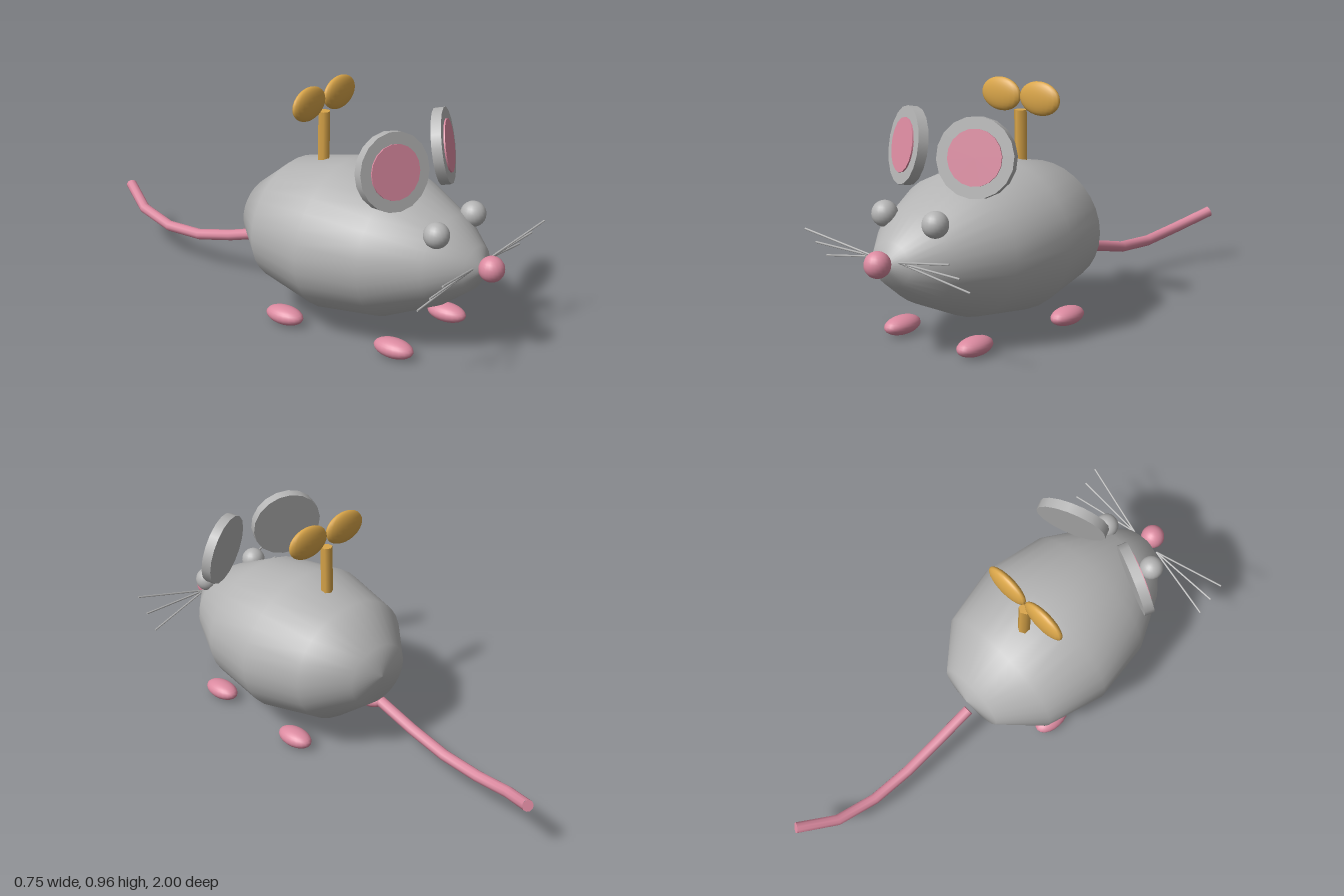
import * as THREE from 'three';

const paint = (name, color) => {
  const m = new THREE.MeshStandardMaterial({ color });
  m.name = name;
  return m;
};

export function createModel() {
  const model = new THREE.Group();
  model.name = 'windUpMouse';
  const grey = paint('grey', 0xb4b4b4);
  const pink = paint('pink', 0xdb8aa0);
  const gold = paint('gold', 0xd9a549);

  const add = (name, geometry, material, x = 0, y = 0, z = 0, parent = model) => {
    const mesh = new THREE.Mesh(geometry, material);
    mesh.name = name;
    mesh.position.set(x, y, z);
    parent.add(mesh);
    return mesh;
  };
  const ellipsoid = (rx, ry, rz) => new THREE.SphereGeometry(1, 20, 14).scale(rx, ry, rz);
  const rod = (name, a, b, radius, material) => {
    const dir = b.clone().sub(a);
    const mesh = add(name, new THREE.CylinderGeometry(radius, radius, dir.length(), 6), material);
    mesh.position.copy(a).add(b).multiplyScalar(0.5);
    mesh.quaternion.setFromUnitVectors(new THREE.Vector3(0, 1, 0), dir.normalize());
  };

  // Body: profile of [radius, z], turned about z and flattened a little
  const profile = [[0, -0.137], [0.15, -0.11], [0.298, 0.05], [0.36, 0.304],
    [0.32, 0.56], [0.205, 0.77], [0.1, 0.885], [0, 0.925]];
  const body = new THREE.LatheGeometry(profile.map(([r, z]) => new THREE.Vector2(r, z)), 32);
  body.rotateX(Math.PI / 2).scale(1, 0.847, 1);
  add('body', body, grey, 0, 0.365, 0);

  add('nose', ellipsoid(0.05, 0.05, 0.05), pink, 0, 0.378, 0.95);

  for (const s of [1, -1]) {
    const side = s > 0 ? 'left' : 'right';

    // Ear: thick disc with a thin pink inner disc, turned outward and tipped back
    const ear = new THREE.Group();
    ear.name = side + 'Ear';
    ear.position.set(s * 0.178, 0.74, 0.617);
    ear.rotation.set(-0.2, s * 0.4, 0);
    model.add(ear);
    add('earShell', new THREE.CylinderGeometry(0.15, 0.15, 0.04, 18).rotateX(Math.PI / 2), grey, 0, 0, 0, ear);
    add('innerEar', new THREE.CylinderGeometry(0.105, 0.105, 0.008, 18).rotateX(Math.PI / 2), pink, 0, 0, 0.022, ear);

    add(side + 'Eye', ellipsoid(0.05, 0.05, 0.05), grey, s * 0.132, 0.516, 0.787);
    add(side + 'FrontFoot', ellipsoid(0.05, 0.037, 0.085), pink, s * 0.193, 0.038, 0.655);
    add(side + 'BackFoot', ellipsoid(0.05, 0.037, 0.085), pink, s * 0.22, 0.038, 0.155);
    add(side + 'KeyWing', ellipsoid(0.1, 0.067, 0.027), gold, s * 0.1, 0.893, 0.18);

    // Whiskers fan out from beside the nose
    for (const k of [-1, 0, 1]) {
      rod(side + 'Whisker', new THREE.Vector3(s * 0.065, 0.388, 0.905),
        new THREE.Vector3(s * 0.375, 0.39 + k * 0.062, 0.915 + k * 0.05), 0.004, grey);
    }
  }

  // Key stem
  rod('keyStem', new THREE.Vector3(0, 0.6, 0.18), new THREE.Vector3(0, 0.84, 0.18), 0.025, gold);

  // Tail: a few-segment tube with closed ends
  const path = new THREE.CatmullRomCurve3([
    [0, 0.243, -0.13], [0, 0.185, -0.32], [0, 0.145, -0.5],
    [0.01, 0.143, -0.7], [0.05, 0.185, -0.88], [0.112, 0.23, -0.985],
  ].map((p) => new THREE.Vector3(...p)));
  add('tail', new THREE.TubeGeometry(path, 5, 0.023, 10), pink);
  for (const t of [0, 1]) {
    const end = path.getPointAt(t);
    const cap = add('tailEnd', new THREE.CircleGeometry(0.023, 10), pink, end.x, end.y, end.z);
    cap.lookAt(end.clone().addScaledVector(path.getTangentAt(t), t ? 1 : -1));
  }

  return model;
}
